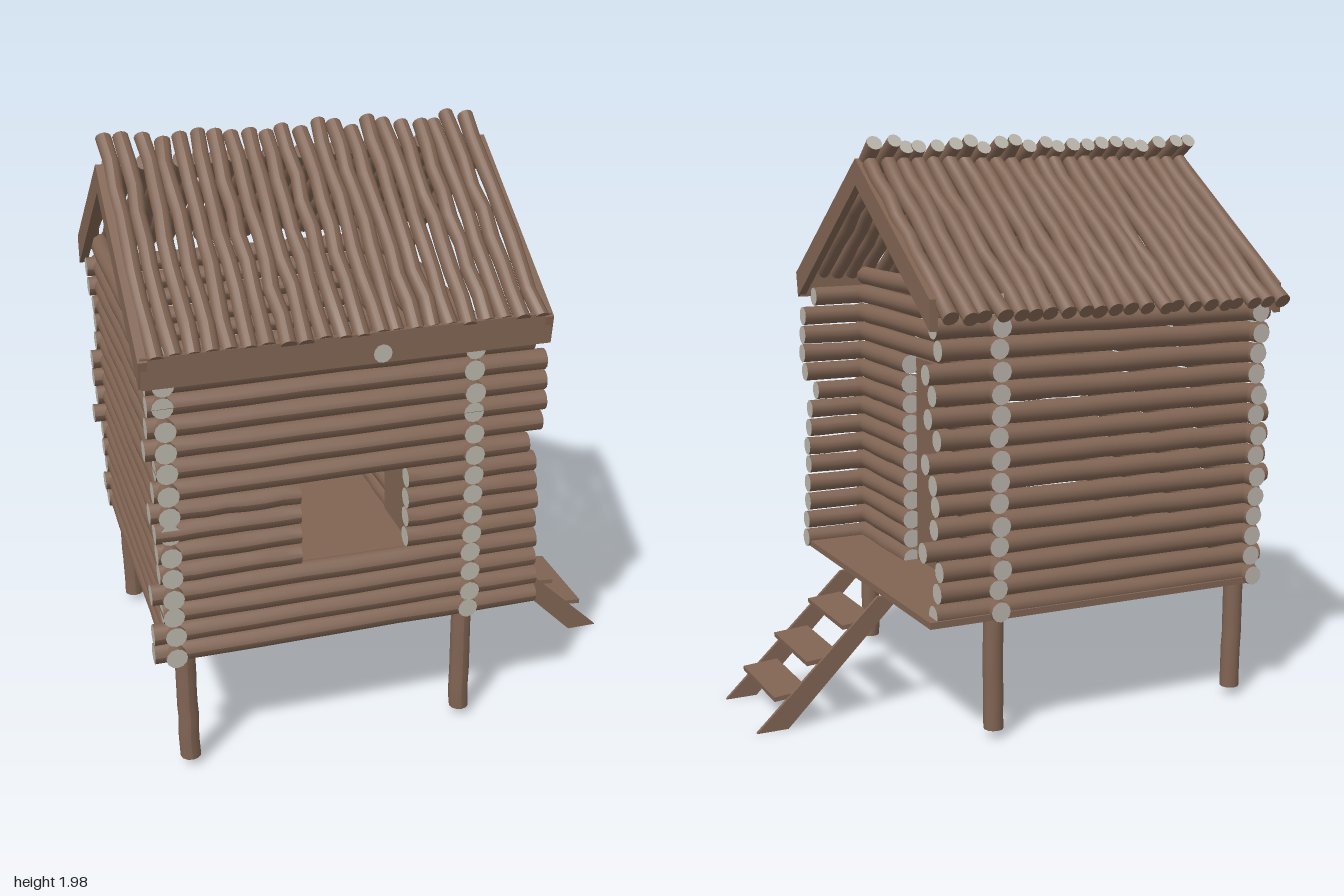
import * as THREE from 'three';

const wood = new THREE.MeshStandardMaterial({ color: 0x806453 });
wood.name = 'brown wood';
const cut = new THREE.MeshStandardMaterial({ color: 0xb8b4aa });
cut.name = 'pale cut end';

export function createModel() {
  const model = new THREE.Group();
  model.name = 'logCabin';

  let seed = 7;
  const rnd = (amount) => {
    seed = (seed * 16807) % 2147483647;
    return (seed / 2147483647 * 2 - 1) * amount;
  };

  const group = (name) => {
    const g = new THREE.Group();
    g.name = name;
    model.add(g);
    return g;
  };

  // A slightly crooked log from a to b; materials are [side, end at b, end at a]
  function log(parent, name, a, b, r, wobble, mats = [wood, cut, cut]) {
    const from = new THREE.Vector3(...a), to = new THREE.Vector3(...b);
    const length = from.distanceTo(to), steps = 8;
    const geo = new THREE.CylinderGeometry(r, r, length, 12, steps);
    const offsets = Array.from({ length: steps + 1 }, () => [rnd(wobble), rnd(wobble * 0.6), 1 + rnd(wobble * 8)]);
    const p = geo.attributes.position;
    for (let i = 0; i < p.count; i++) {
      const [dx, dz, s] = offsets[Math.round((p.getY(i) / length + 0.5) * steps)];
      p.setX(i, p.getX(i) * s + dx);
      p.setZ(i, p.getZ(i) * s + dz);
    }
    geo.computeVertexNormals();
    const mesh = new THREE.Mesh(geo, mats);
    mesh.name = name;
    mesh.position.copy(from).add(to).multiplyScalar(0.5);
    mesh.quaternion.setFromUnitVectors(new THREE.Vector3(0, 1, 0), to.sub(from).normalize());
    parent.add(mesh);
  }

  function box(parent, name, w, h, d, x, y, z, tilt = 0) {
    const mesh = new THREE.Mesh(new THREE.BoxGeometry(w, h, d), wood);
    mesh.name = name;
    mesh.position.set(x, y, z);
    mesh.rotation.z = tilt;
    parent.add(mesh);
  }

  // Stacked log walls with a front window and a doorway on the porch side
  const front = group('frontWall'), back = group('backWall');
  const left = group('porchWall'), right = group('endWall');
  const R = 0.034;
  for (let i = 0; i < 15; i++) {
    const y = 0.45 + i * 0.0717;
    if (i < 14) {
      for (const [wall, z] of [[front, 0.62], [back, -0.51]]) {
        const x0 = -0.86 + rnd(0.018), x1 = 0.405 + rnd(0.03);
        if (wall === front && i >= 4 && i <= 7) {
          log(wall, 'wallLog', [x0, y, z], [-0.39, y, z], R, 0.002);
          log(wall, 'wallLog', [-0.035, y, z], [x1, y, z], R, 0.002);
        } else log(wall, 'wallLog', [x0, y, z], [x1, y, z], R, 0.002);
      }
    }
    for (const [wall, x] of [[left, 0.18], [right, -0.81]]) {
      const z0 = -0.56 + rnd(0.015), z1 = 0.66 + rnd(0.012);
      if (wall === left && i <= 10) {
        log(wall, 'wallLog', [x, y, z0], [x, y, -0.12], R, 0.002);
        log(wall, 'wallLog', [x, y, 0.17], [x, y, z1], R, 0.002);
      } else log(wall, 'wallLog', [x, y, z0], [x, y, i === 14 ? 0.6 : z1], R, 0.002);
    }
  }
  box(left, 'doorPanel', 0.015, 0.75, 0.29, 0.15, 0.815, 0.025);

  // Floor and porch deck
  const deck = group('deck');
  box(deck, 'floor', 1.23, 0.022, 1.14, -0.19, 0.432, 0.02);

  // Stilts
  const stilts = group('stilts');
  for (const x of [-0.775, 0.175])
    for (const z of [0.605, -0.495])
      log(stilts, 'stilt', [x, 0.03, z], [x, 0.43, z], 0.034, 0.002, [wood, wood, wood]);

  // Roof logs: the front slope runs past the ridge
  const frontRoof = group('frontRoof'), backRoof = group('backRoof');
  for (let i = 0; i < 22; i++) {
    const x = -0.83 + i * 0.0581;
    const t = rnd(0.02);
    log(frontRoof, 'roofLog', [x, 1.465, 0.655 + rnd(0.008)], [x + rnd(0.006), 1.95 + t * 0.7, -0.04 - t],
      0.026, 0.006, [wood, cut, wood]);
    log(backRoof, 'roofLog', [x, 1.425, -0.65 + rnd(0.02)], [x + rnd(0.006), 1.885, 0.0],
      0.026, 0.006, [wood, wood, wood]);
  }

  // Bent gable boards at both ends of the roof
  const gables = group('gableBoards');
  const outline = [[-0.67, 1.47], [-0.04, 1.9], [0.575, 1.48], [0.575, 1.38], [-0.04, 1.81], [-0.655, 1.38]];
  const shape = new THREE.Shape(outline.map(([a, b]) => new THREE.Vector2(a, b)));
  for (const x of [-0.88, 0.405]) {
    const mesh = new THREE.Mesh(new THREE.ExtrudeGeometry(shape, { depth: 0.028, bevelEnabled: false }), wood);
    mesh.name = 'gableBoard';
    mesh.rotation.y = Math.PI / 2;
    mesh.position.x = x;
    gables.add(mesh);
  }

  // Eaves board with one log end poking through
  const eaves = group('eaves');
  box(eaves, 'eavesBoard', 1.3, 0.1, 0.02, -0.223, 1.43, 0.655);
  log(eaves, 'eavesPeg', [-0.13, 1.41, 0.6], [-0.13, 1.41, 0.668], 0.03, 0.001);

  // Ladder: slanted side boards and three treads
  const ladder = group('ladder');
  const rail = new THREE.Shape([[0.35, 0.42], [0.77, 0], [0.88, 0], [0.44, 0.42]].map(([a, b]) => new THREE.Vector2(a, b)));
  for (const z of [0.218, -0.14]) {
    const mesh = new THREE.Mesh(new THREE.ExtrudeGeometry(rail, { depth: 0.013, bevelEnabled: false }), wood);
    mesh.name = 'ladderRail';
    mesh.position.z = z;
    ladder.add(mesh);
  }
  [[0.505, 0.33], [0.635, 0.22], [0.752, 0.112]].forEach(([x, y]) =>
    box(ladder, 'tread', 0.125, 0.016, 0.35, x, y, 0.045, -0.08));

  return model;
}
